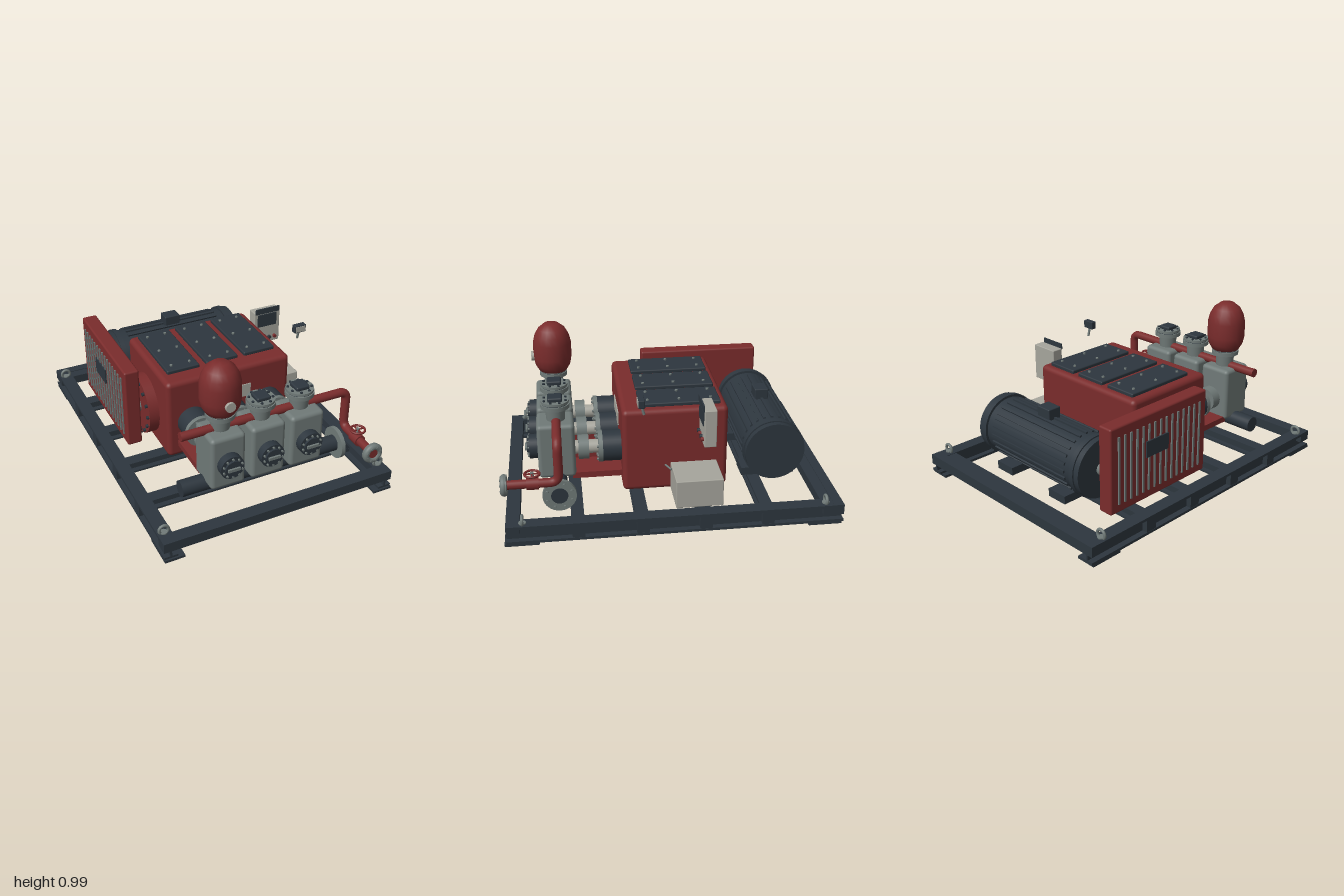
import * as THREE from 'three';
import { RoundedBoxGeometry } from 'three/addons/geometries/RoundedBoxGeometry.js';

const paint = (name, color) => Object.assign(new THREE.MeshStandardMaterial({ color }), { name });

export function createModel() {
  const root = new THREE.Group();
  root.name = 'pumpSkid';
  const red = paint('oxide red', 0x7a2c2c);
  const dark = paint('dark slate', 0x2d363e);
  const steel = paint('cast steel', 0x707a78);
  const pale = paint('pale grey', 0xa6a59c);

  const add = (name, geo, mat, x = 0, y = 0, z = 0, parent = root) => {
    const m = new THREE.Mesh(geo, mat);
    m.name = name;
    m.position.set(x, y, z);
    parent.add(m);
    return m;
  };
  // Box given by its extents on each axis
  const box = (name, mat, [x0, x1], [y0, y1], [z0, z1], r = 0, parent = root) => {
    const s = [x1 - x0, y1 - y0, z1 - z0];
    const geo = r ? new RoundedBoxGeometry(...s, 3, r) : new THREE.BoxGeometry(...s);
    return add(name, geo, mat, (x0 + x1) / 2, (y0 + y1) / 2, (z0 + z1) / 2, parent);
  };
  // Cylinder along an axis, from a to b; u and v are the other two coordinates in xyz order
  const cyl = (name, mat, axis, r, a, b, u, v, parent = root, seg = 32, r2 = r) => {
    const geo = new THREE.CylinderGeometry(r2, r, b - a, seg);
    if (axis === 'x') geo.rotateZ(-Math.PI / 2);
    if (axis === 'z') geo.rotateX(Math.PI / 2);
    const c = (a + b) / 2;
    const p = { x: [c, u, v], y: [u, c, v], z: [u, v, c] }[axis];
    return add(name, geo, mat, ...p, parent);
  };
  const bolts = (name, mat, axis, n, ring, r, a, b, u, v, parent = root) => {
    for (let i = 0; i < n; i++) {
      const t = ((i + 0.5) / n) * Math.PI * 2;
      cyl(name, mat, axis, r, a, b, u + ring * Math.cos(t), v + ring * Math.sin(t), parent, 6);
    }
  };

  // Base frame: two side I-beams, end beams and four cross beams
  const frame = new THREE.Group();
  frame.name = 'baseFrame';
  root.add(frame);
  const crossZ = [-0.545, -0.175, 0.195, 0.567];
  for (const s of [-1, 1]) {
    const span = (c, w) => [s * c - w / 2, s * c + w / 2];
    box('sideRailTop', dark, span(0.703, 0.084), [0.108, 0.125], [-1, 0.98], 0, frame);
    box('sideRailWeb', dark, span(0.703, 0.012), [0.028, 0.11], [-1, 0.98], 0, frame);
    box('sideRailBottom', dark, span(0.703, 0.084), [0.014, 0.03], [-1, 0.98], 0, frame);
    for (const z of crossZ)
      box('railStiffener', dark, span(0.703, 0.08), [0.028, 0.11], [z - 0.036, z + 0.036], 0, frame);
    for (const z of [-0.895, 0.885]) {
      const end = Math.sign(z);
      box('footPad', dark, span(0.684, 0.122), [0, 0.016], [end * 0.89 - 0.1, end * 0.89 + 0.1], 0, frame);
      add('liftingEye', new THREE.TorusGeometry(0.028, 0.009, 10, 24), steel, s * 0.705, 0.145, z, frame);
      cyl('eyeBase', steel, 'y', 0.022, 0.122, 0.132, s * 0.705, z, frame, 16);
    }
  }
  const iBeam = (name, z, w, y0, y1, hx) => {
    box(name + 'Top', dark, [-hx, hx], [y1 - 0.014, y1], [z - w / 2, z + w / 2], 0, frame);
    box(name + 'Web', dark, [-hx, hx], [y0, y1], [z - 0.006, z + 0.006], 0, frame);
    box(name + 'Bottom', dark, [-hx, hx], [y0, y0 + 0.012], [z - w / 2, z + w / 2], 0, frame);
  };
  for (const z of crossZ) iBeam('crossBeam', z, 0.075, 0.045, 0.118, 0.7);
  box('frontBeam', dark, [-0.745, 0.745], [0.063, 0.126], [0.9, 0.98], 0, frame);
  box('rearBeam', dark, [-0.745, 0.745], [0.063, 0.126], [-1, -0.94], 0, frame);
  box('rearBeamLedge', dark, [-0.745, 0.745], [0.063, 0.122], [-0.94, -0.875], 0, frame);

  // Crankcase with three bolted top covers
  box('crankcase', red, [-0.415, 0.412], [0.12, 0.65], [-0.355, 0.28], 0.03);
  for (const x of [-0.258, 0, 0.255]) {
    box('topCover', dark, [x - 0.106, x + 0.106], [0.645, 0.672], [-0.315, 0.172], 0.008);
    for (const dx of [-0.06, 0.06])
      for (const z of [-0.26, -0.07, 0.12])
        cyl('coverBolt', steel, 'y', 0.009, 0.67, 0.681, x + dx, z, root, 6);
  }
  box('namePlate', pale, [-0.14, 0.14], [0.435, 0.52], [0.279, 0.287]);
  cyl('bearingHub', red, 'x', 0.19, -0.48, -0.41, 0.35, -0.04, root, 48);
  bolts('hubBolt', dark, 'x', 14, 0.17, 0.011, -0.495, -0.48, 0.35, -0.04);
  cyl('driveShaft', steel, 'x', 0.05, -0.52, -0.47, 0.35, -0.04);

  // Belt guard with slatted vent and plate
  box('beltGuard', red, [-0.6, -0.505], [0.13, 0.66], [-0.72, 0.067], 0.012);
  for (let i = 0; i < 15; i++) {
    const z = -0.66 + i * 0.0475;
    box('ventSlat', steel, [-0.608, -0.599], [0.185, 0.6], [z - 0.006, z + 0.006]);
  }
  box('guardPlate', dark, [-0.613, -0.604], [0.4, 0.5], [-0.45, -0.27]);

  // Electric motor with ribs, end rings, terminal box and feet
  const motor = new THREE.Group();
  motor.name = 'motor';
  root.add(motor);
  const my = 0.347, mz = -0.642;
  cyl('motorBody', dark, 'x', 0.175, -0.4, 0.4, my, mz, motor, 48);
  for (const s of [-1, 1]) {
    cyl('motorEndRing', dark, 'x', 0.19, s * 0.395 - 0.016, s * 0.395 + 0.016, my, mz, motor, 48);
    cyl('motorEndBell', dark, 'x', 0.182, s * 0.425 - 0.022, s * 0.425 + 0.022, my, mz, motor, 48);
    box('motorFoot', dark, [s * 0.24 - 0.07, s * 0.24 + 0.07], [0.122, 0.172], [-0.805, -0.47], 0, motor);
  }
  for (let i = 0; i < 24; i++) {
    const t = (i / 24) * Math.PI * 2;
    const rib = add('motorRib', new THREE.BoxGeometry(0.66, 0.016, 0.016), dark,
      0, my + 0.177 * Math.cos(t), mz + 0.177 * Math.sin(t), motor);
    rib.rotation.x = t;
  }
  box('terminalBox', dark, [-0.053, 0.053], [0.5, 0.588], [-0.685, -0.598], 0.006, motor);
  cyl('motorShaft', steel, 'x', 0.04, -0.51, -0.44, my, mz, motor);

  // Three pump cylinders: crosshead, rod, fluid end and valve stack
  const pz = 0.665, py = 0.383;
  [-0.256, 0, 0.254].forEach((x, i) => {
    const p = new THREE.Group();
    p.name = 'pumpCylinder';
    root.add(p);
    cyl('crosshead', dark, 'z', 0.095, 0.27, 0.392, x, 0.36, p);
    cyl('crossheadFlange', steel, 'z', 0.098, 0.392, 0.418, x, 0.36, p);
    bolts('crossheadBolt', steel, 'z', 8, 0.08, 0.009, 0.418, 0.428, x, 0.36, p);
    cyl('pistonRod', pale, 'z', 0.042, 0.415, 0.57, x, 0.36, p);
    cyl('rodGland', steel, 'z', 0.075, 0.475, 0.538, x, 0.36, p);
    box('dripTray', red, [x - 0.095, x + 0.095], [0.197, 0.235], [0.27, 0.58], 0, p);
    box('fluidEnd', steel, [x - 0.109, x + 0.109], [0.212, 0.56], [0.558, 0.782], 0.025, p);
    cyl('valveCover', dark, 'z', 0.074, 0.775, 0.832, x, py, p);
    cyl('valveCoverCap', dark, 'z', 0.05, 0.83, 0.845, x, py, p);
    bolts('valveCoverBolt', steel, 'z', 10, 0.06, 0.007, 0.83, 0.842, x, py, p);
    box('valveHandle', steel, [x - 0.038, x + 0.038], [py - 0.009, py + 0.009], [0.843, 0.857], 0, p);
    cyl('neck', steel, 'y', 0.055, 0.55, 0.645, x, pz, p, 32, 0.062);
    cyl('neckFlange', steel, 'y', 0.087, 0.638, 0.664, x, pz, p);
    cyl('neckFlangeTop', steel, 'y', 0.083, 0.668, 0.684, x, pz, p);
    cyl('neckGasket', dark, 'y', 0.08, 0.66, 0.67, x, pz, p);
    if (i) {
      bolts('neckBolt', dark, 'y', 8, 0.069, 0.008, 0.683, 0.692, x, pz, p);
      box('neckCap', dark, [x - 0.044, x + 0.044], [0.68, 0.708], [pz - 0.044, pz + 0.044], 0.01, p);
    }
  });

  // Pulsation dampener on the first stack
  const profile = [[0, 0.672], [0.088, 0.674], [0.112, 0.715], [0.121, 0.765], [0.12, 0.86], [0.108, 0.91],
    [0.086, 0.95], [0.045, 0.983], [0, 0.985]].map(([r, y]) => new THREE.Vector2(r, y));
  add('dampener', new THREE.LatheGeometry(profile, 20), red, -0.256, 0, pz);
  cyl('dampenerPort', pale, 'z', 0.03, 0.77, 0.8, -0.256, 0.768, root, 20);

  // Suction manifold with end flange
  cyl('suctionManifold', dark, 'x', 0.05, -0.51, 0.553, 0.198, pz);
  cyl('manifoldFlange', steel, 'x', 0.1, 0.525, 0.55, 0.198, pz);
  bolts('manifoldBolt', steel, 'x', 8, 0.078, 0.01, 0.55, 0.56, 0.198, pz);

  // Discharge pipe: straight runs joined by short bends
  const V = (x, y, z) => new THREE.Vector3(x, y, z);
  const pts = [V(-0.5, 0.562, pz), V(0.585, 0.562, pz), V(0.585, 0.312, pz), V(0.585, 0.312, 0.965)];
  const path = new THREE.CurvePath();
  let from = pts[0];
  for (let i = 1; i < pts.length; i++) {
    const last = i === pts.length - 1;
    const dir = pts[i].clone().sub(pts[i - 1]).normalize();
    const to = last ? pts[i] : pts[i].clone().addScaledVector(dir, -0.055);
    path.add(new THREE.LineCurve3(from, to));
    if (last) break;
    const out = pts[i + 1].clone().sub(pts[i]).normalize();
    from = pts[i].clone().addScaledVector(out, 0.055);
    path.add(new THREE.QuadraticBezierCurve3(to, pts[i], from));
  }
  add('dischargePipe', new THREE.TubeGeometry(path, 140, 0.027, 18), red);
  cyl('pipeEndCap', red, 'x', 0.028, -0.503, -0.495, 0.562, pz);
  add('outletFlange', new THREE.TorusGeometry(0.045, 0.02, 14, 32), steel, 0.585, 0.312, 0.978);
  cyl('outletRim', steel, 'z', 0.062, 0.962, 0.984, 0.585, 0.312);
  cyl('outletBore', red, 'z', 0.028, 0.96, 0.99, 0.585, 0.312);
  bolts('outletBolt', steel, 'z', 8, 0.046, 0.008, 0.985, 1, 0.585, 0.312);

  // Shut-off valve with handwheel
  cyl('valveBody', red, 'z', 0.036, 0.78, 0.85, 0.585, 0.312);
  cyl('valveStem', steel, 'y', 0.01, 0.32, 0.385, 0.585, 0.815, root, 12);
  add('handwheel', new THREE.TorusGeometry(0.043, 0.007, 8, 28).rotateX(Math.PI / 2), red, 0.585, 0.375, 0.815);
  for (const a of [0, Math.PI / 2])
    add('handwheelSpoke', new THREE.BoxGeometry(0.086, 0.007, 0.009), red, 0.585, 0.375, 0.815).rotation.y = a;

  // Control panel with screen, buttons and hood
  box('controlPanel', pale, [0.41, 0.597], [0.482, 0.713], [-0.25, -0.178], 0.005);
  box('panelScreen', dark, [0.432, 0.57], [0.608, 0.697], [-0.178, -0.172]);
  box('panelHood', dark, [0.415, 0.588], [0.705, 0.742], [-0.178, -0.17]);
  for (let i = 0; i < 4; i++)
    cyl('panelButton', i % 2 ? red : dark, 'z', 0.012, -0.18, -0.162, 0.44 + i * 0.04, 0.52, root, 16);
  box('junctionBox', pale, [0.405, 0.658], [0.125, 0.3], [-0.288, -0.008], 0.005);

  // Small gauge display on a slanted stalk
  box('gaugeHousing', dark, [0.49, 0.57], [0.737, 0.787], [0.162, 0.198], 0.004);
  box('gaugeScreen', pale, [0.497, 0.563], [0.744, 0.78], [0.198, 0.202]);
  const stalk = add('gaugeStalk', new THREE.CylinderGeometry(0.008, 0.008, 0.06, 10), steel, 0.53, 0.713, 0.171);
  stalk.rotation.x = 0.25;
  // Side lever on the crankcase
  const lever = add('sideLever', new THREE.CylinderGeometry(0.006, 0.006, 0.08, 8), steel, 0.438, 0.285, 0.012);
  lever.rotation.set(0, 0.4, -Math.PI / 2);
  return root;
}
